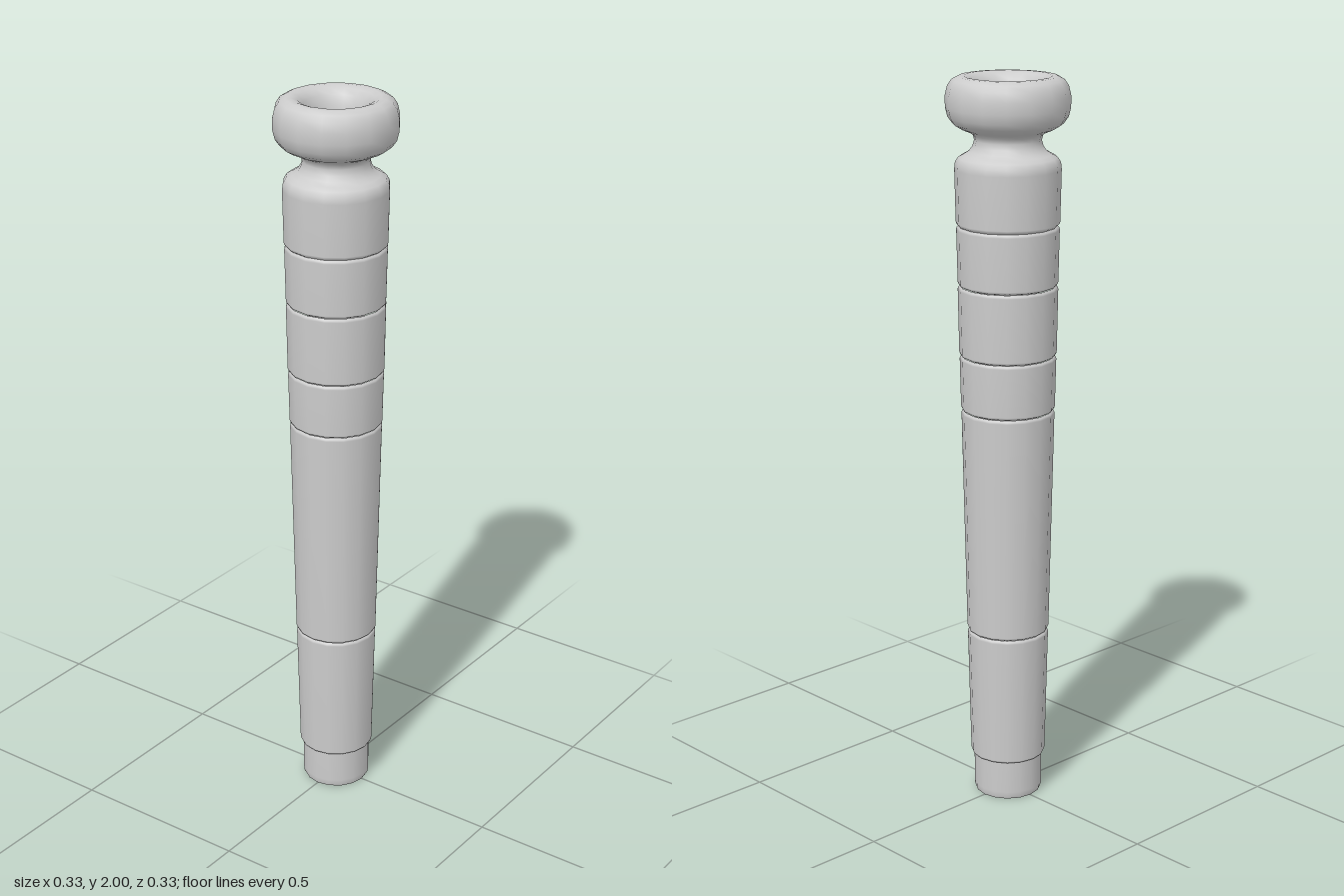
import * as THREE from 'three';

const SIDES = 16;

export function createModel() {
  const group = new THREE.Group();
  const grey = new THREE.MeshStandardMaterial({ color: 0xcccccc });
  grey.name = 'plain grey';

  // Revolve a [radius, height] profile; outer walls run bottom to top
  function turned(name, profile) {
    const points = profile.map(([r, y]) => new THREE.Vector2(r, y));
    const mesh = new THREE.Mesh(new THREE.LatheGeometry(points, SIDES), grey);
    mesh.name = name;
    group.add(mesh);
  }

  // Plain foot with a small bevel, up to the step of the shaft
  turned('foot', [[0.09, 0], [0.093, 0.006], [0.094, 0.02], [0.094, 0.11]]);
  turned('footRim', [[0.083, 0], [0.09, 0]]);

  // Tapering bands separated by shallow grooves: [bottom y, radius, top y, radius]
  const bands = [
    ['lowerShaft', 0.11, 0.103, 0.48, 0.111],
    ['longShaft', 0.48, 0.112, 1.11, 0.125],
    ['gripBand1', 1.11, 0.126, 1.26, 0.129],
    ['gripBand2', 1.26, 0.130, 1.45, 0.133],
    ['gripBand3', 1.45, 0.133, 1.61, 0.136],
  ];
  for (const [name, y0, r0, y1, r1] of bands) {
    const g = 0.006;
    turned(name, [
      [r0 - g * 1.5, y0], [r0 - 0.002, y0 + g * 0.6], [r0, y0 + g * 1.5],
      [r1, y1 - g * 1.5], [r1 - 0.002, y1 - g * 0.6], [r1 - g, y1],
    ]);
  }

  // Top band with rounded shoulder, neck, ring-shaped knob and its funnel mouth
  turned('shoulderNeckAndKnob', [
    [0.130, 1.61], [0.135, 1.614], [0.137, 1.62], [0.14, 1.76], [0.138, 1.777],
    [0.13, 1.79], [0.115, 1.798], [0.101, 1.807], [0.092, 1.82], [0.088, 1.835],
    [0.091, 1.848], [0.103, 1.857], [0.125, 1.866], [0.145, 1.878], [0.157, 1.895],
    [0.163, 1.92], [0.163, 1.95], [0.157, 1.975], [0.146, 1.991], [0.13, 1.999],
    [0.115, 2], [0.099, 1.994], [0.085, 1.98], [0.074, 1.955], [0.068, 1.92],
    [0.066, 1.88],
  ]);

  // Hollow bore running the whole length, facing inwards
  turned('bore', [[0.066, 1.88], [0.067, 1.8], [0.075, 1.7], [0.083, 0.1], [0.083, 0]]);

  return group;
}
